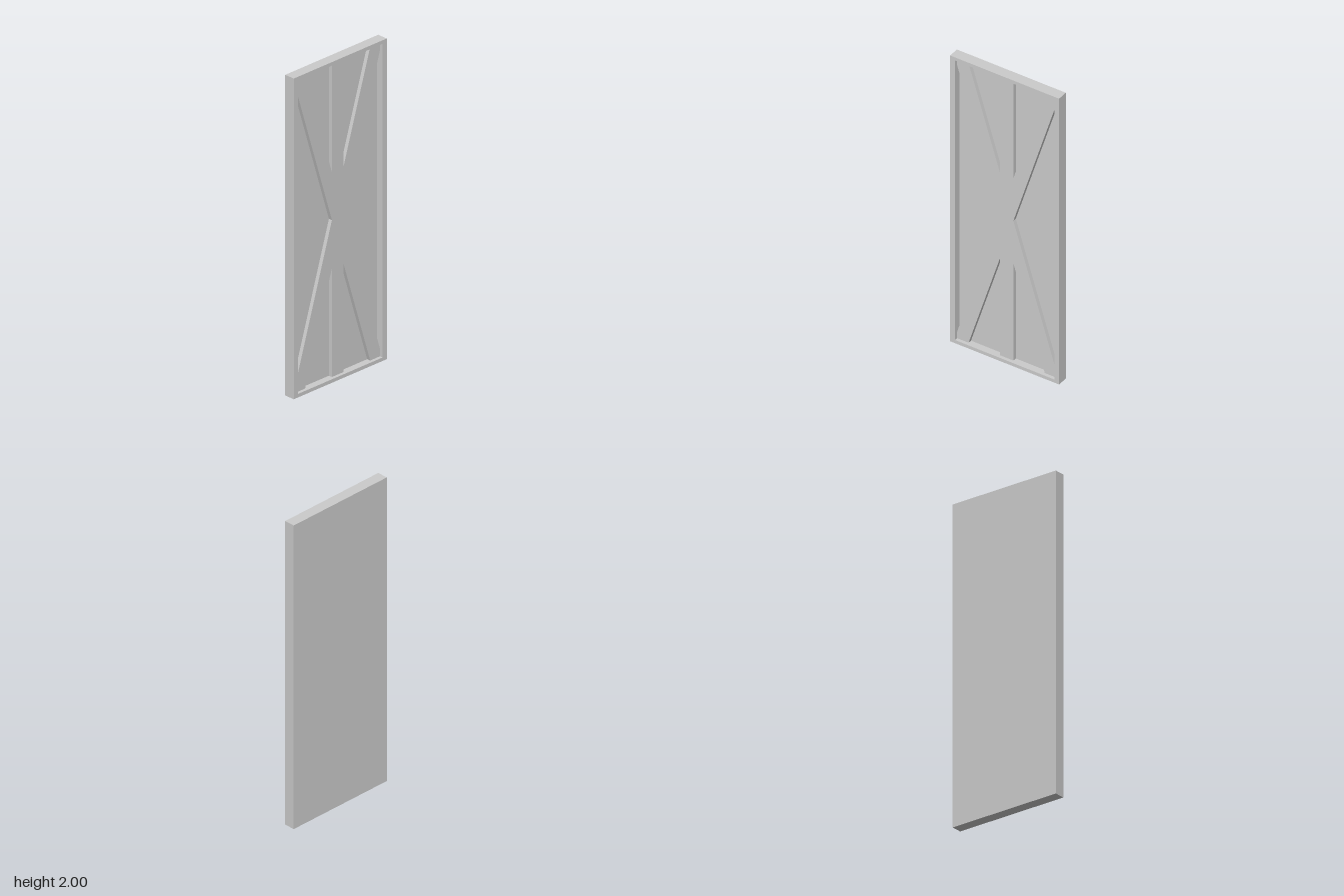
import * as THREE from 'three';

const W = 0.367, D = 0.034;           // half width and half depth of the door
const IN_X = 0.335, IN_Y = 0.978;     // half size of the framed opening
const PANEL_Z = -0.011, BRACE_Z = 0.013;

const material = new THREE.MeshStandardMaterial({ color: 0xcccccc, flatShading: true });

function rectangle(hx, hy) {
  return [[-hx, -hy], [hx, -hy], [hx, hy], [-hx, hy]].map(([x, y]) => new THREE.Vector2(x, y));
}

// Extrudes a shape, drawn around the door's middle, from z0 to z1
function slab(name, shape, z0, z1) {
  const geometry = new THREE.ExtrudeGeometry(shape, { depth: z1 - z0, bevelEnabled: false });
  geometry.translate(0, 1, z0);
  const mesh = new THREE.Mesh(geometry, material);
  mesh.name = name;
  return mesh;
}

export function createModel() {
  const door = new THREE.Group();
  door.name = 'bracedDoor';

  // Flat back panel
  door.add(slab('backPanel', new THREE.Shape(rectangle(W, 1)), -D, PANEL_Z));

  // Raised rim around the front
  const rim = new THREE.Shape(rectangle(W, 1));
  rim.holes.push(new THREE.Path(rectangle(IN_X, IN_Y).reverse()));
  door.add(slab('frame', rim, PANEL_Z, D));

  // Crossed diagonals and centre post in one outline: a quarter, mirrored
  const quarter = [
    [0.045, 0], [IN_X, 0.934], [IN_X, IN_Y], [0.257, IN_Y], [0.045, 0.298], [0.045, IN_Y],
  ];
  const mirror = (points, sx, sy) => points.map(([x, y]) => [x * sx, y * sy]).reverse();
  const upper = [...quarter, ...mirror(quarter, -1, 1)];
  const lower = mirror(upper, 1, -1).slice(1, -1); // drop the shared waist points
  const outline = [...upper, ...lower].map(([x, y]) => new THREE.Vector2(x, y));
  door.add(slab('crossBraces', new THREE.Shape(outline), PANEL_Z, BRACE_Z));

  return door;
}
